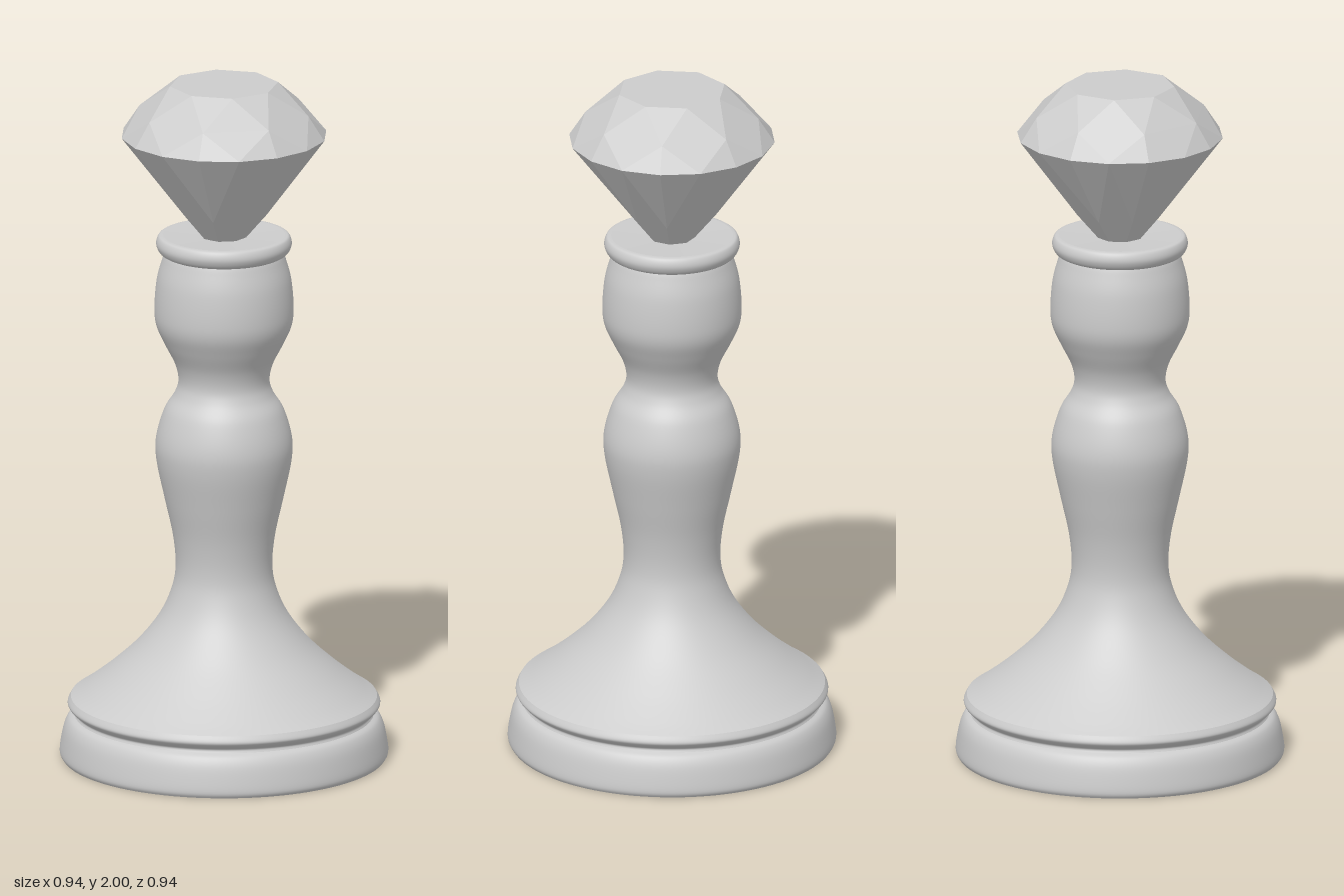
import * as THREE from 'three';
import { ConvexGeometry } from 'three/addons/geometries/ConvexGeometry.js';

const SEGMENTS = 96;

// Turn a [radius, height] profile; curved profiles are smoothed by a spline
function turned(name, profile, material, steps = 0) {
  let points = profile.map(([r, y]) => new THREE.Vector2(r, y));
  if (steps) points = new THREE.SplineCurve(points).getPoints(steps);
  const mesh = new THREE.Mesh(new THREE.LatheGeometry(points, SEGMENTS), material);
  mesh.name = name;
  return mesh;
}

// Ring of points around the y axis
function ring(count, radius, y, turn = 0) {
  return Array.from({ length: count }, (_, i) => {
    const a = (i / count) * Math.PI * 2 + turn;
    return new THREE.Vector3(Math.cos(a) * radius, y, Math.sin(a) * radius);
  });
}

export function createModel() {
  const group = new THREE.Group();
  group.name = 'gemToppedPiece';
  const smooth = new THREE.MeshStandardMaterial({ color: 0xcccccc });
  const faceted = new THREE.MeshStandardMaterial({ color: 0xcccccc, flatShading: true });

  // Foot: flat underside, rounded plinth, groove and lip
  group.add(turned('footUnderside', [[0.31, 0], [0.465, 0]], smooth));
  group.add(turned('plinth', [
    [0.465, 0], [0.472, 0.015], [0.468, 0.05], [0.459, 0.09], [0.446, 0.115], [0.43, 0.125],
  ], smooth, 24));
  group.add(turned('footLip', [
    [0.43, 0.125], [0.428, 0.135], [0.443, 0.148], [0.449, 0.16], [0.44, 0.178],
  ], smooth, 20));

  // Hollow inside the foot
  group.add(turned('footCavity', [[0.1, 0.42], [0.31, 0]], smooth));
  group.add(turned('cavityCeiling', [[0, 0.42], [0.1, 0.42]], smooth));

  // Flared skirt and baluster stem
  group.add(turned('stem', [
    [0.44, 0.178], [0.40, 0.205], [0.33, 0.26], [0.25, 0.335], [0.185, 0.42], [0.15, 0.5],
    [0.139, 0.57], [0.147, 0.66], [0.171, 0.77], [0.194, 0.88], [0.195, 0.95],
    [0.172, 1.03], [0.142, 1.08], [0.131, 1.12], [0.141, 1.17], [0.171, 1.23],
    [0.195, 1.285], [0.2, 1.34], [0.193, 1.42], [0.177, 1.48], [0.17, 1.5],
  ], smooth, 120));

  // Rounded collar and the seat of the gem
  group.add(turned('collar', [
    [0.17, 1.495], [0.185, 1.503], [0.194, 1.52], [0.194, 1.535], [0.187, 1.549], [0.175, 1.552],
  ], smooth, 24));
  group.add(turned('collarTop', [[0.175, 1.552], [0, 1.545]], smooth));

  // Brilliant-cut gem: table, crown, girdle, pavilion and culet
  const half = Math.PI / 8;
  const gem = new THREE.Mesh(new ConvexGeometry([
    ...ring(8, 0.157, 2),
    ...ring(8, 0.25, 1.921, half),
    ...ring(16, 0.297, 1.85),
    ...ring(8, 0.127, 1.62, half),
    new THREE.Vector3(0, 1.47, 0),
  ]), faceted);
  gem.name = 'gem';
  group.add(gem);

  return group;
}
